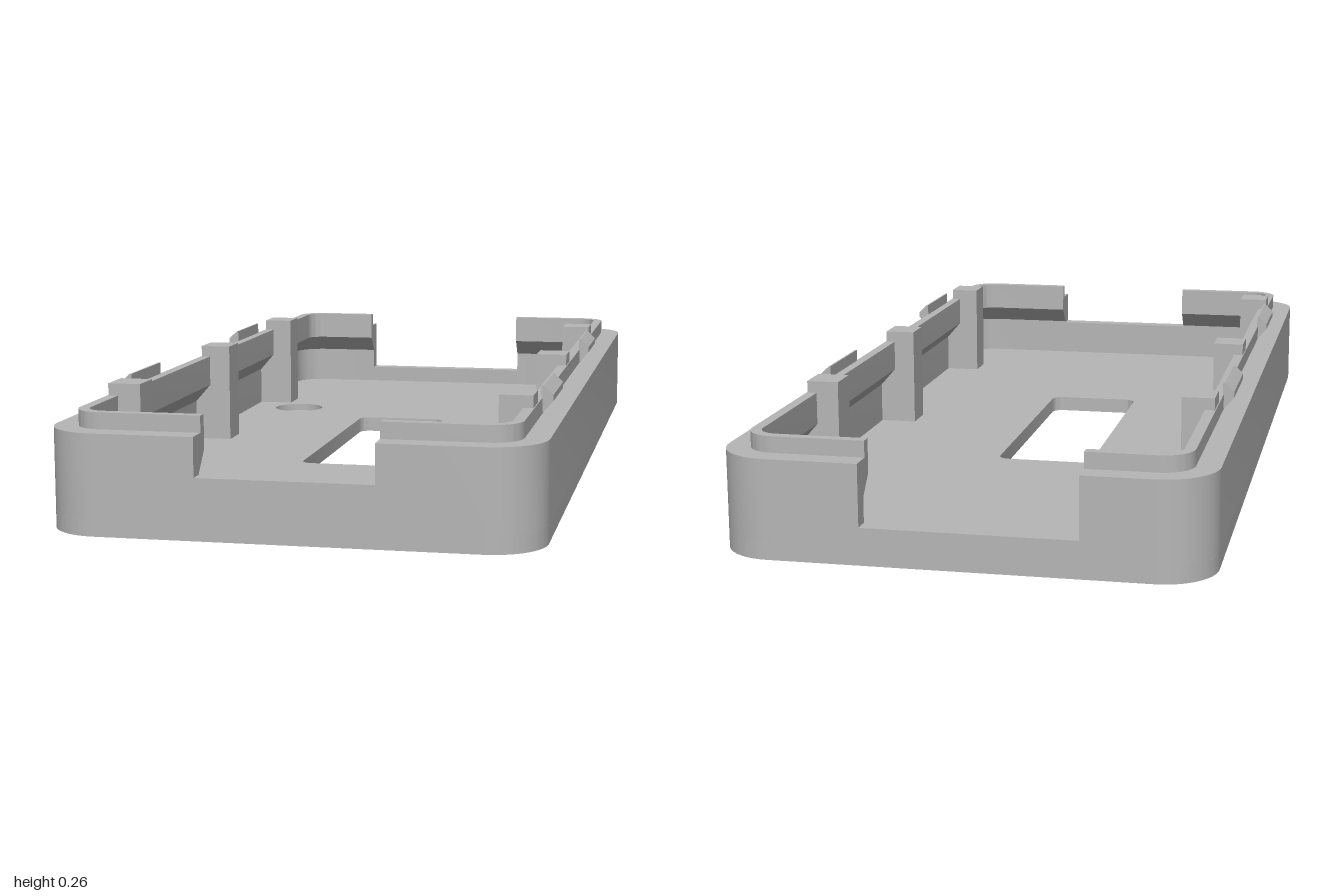
import * as THREE from 'three';
import { toCreasedNormals } from 'three/addons/utils/BufferGeometryUtils.js';

const W = 0.485, L = 1, R = 0.11;      // half width, half length, corner radius
const FLOOR = 0.035, WALL = 0.035;     // thicknesses
const ARC = 12;                        // segments per corner
const FRONT_SILL = 0.122, BACK_SILL = 0.075;

const grey = new THREE.MeshStandardMaterial({ color: 0xb6b6b6 });
grey.name = 'plastic grey';

function add(group, name, geometry) {
  const mesh = new THREE.Mesh(geometry, grey);
  mesh.name = name;
  group.add(mesh);
  return mesh;
}

// Box given by its limits
function block(x0, x1, y0, y1, z0, z1) {
  return new THREE.BoxGeometry(x1 - x0, y1 - y0, z1 - z0)
    .translate((x0 + x1) / 2, (y0 + y1) / 2, (z0 + z1) / 2);
}

function roundedRect(path, x0, y0, x1, y1, r) {
  path.moveTo(x0 + r, y0);
  path.lineTo(x1 - r, y0);
  path.absarc(x1 - r, y0 + r, r, -Math.PI / 2, 0);
  path.lineTo(x1, y1 - r);
  path.absarc(x1 - r, y1 - r, r, 0, Math.PI / 2);
  path.lineTo(x0 + r, y1);
  path.absarc(x0 + r, y1 - r, r, Math.PI / 2, Math.PI);
  path.lineTo(x0, y0 + r);
  path.absarc(x0 + r, y0 + r, r, Math.PI, Math.PI * 1.5);
  return path;
}

// Base plate layer with the window and a round hole
function floorLayer(y0, y1, holeRadius) {
  const shape = roundedRect(new THREE.Shape(), -W, -L, W, L, R);
  shape.holes.push(
    roundedRect(new THREE.Path(), -0.127, -0.36, 0.085, 0.29, 0.025),
    new THREE.Path().absarc(-0.325, 0.415, holeRadius, 0, Math.PI * 2)
  );
  const g = new THREE.ExtrudeGeometry(shape, { depth: y1 - y0, bevelEnabled: false, curveSegments: ARC });
  g.rotateX(-Math.PI / 2).translate(0, y0, 0);
  return toCreasedNormals(g, 0.6);
}

// Wall section as [inset from outline, height]: ledge, lip, and sloped underside
const PROFILE = [
  [0, FLOOR], [0, 0.2], [0.048, 0.2], [0.048, 0.233],
  [0.07, 0.233], [0.07, 0.165], [WALL, 0.125], [WALL, FLOOR]
];

// Sweep the section around two corners, from one notch edge to the other
function sideWall(side, startX, endX) {
  const cx = side * (W - R), cz = side * (L - R);
  const a0 = side > 0 ? Math.PI / 2 : Math.PI * 1.5;
  const stations = [[startX, cz, a0]];
  [cz, -cz].forEach((z, corner) => {
    for (let i = 0; i <= ARC; i++) stations.push([cx, z, a0 - (corner + i / ARC) * Math.PI / 2]);
  });
  stations.push([endX, -cz, a0 - Math.PI]);

  const rings = stations.map(([x, z, a]) => PROFILE.map(([inset, y]) =>
    [x + Math.cos(a) * (R - inset), y, z + Math.sin(a) * (R - inset)]));
  const pos = [];
  const tri = (a, b, c) => pos.push(...a, ...b, ...c);
  const n = PROFILE.length;
  for (let i = 0; i < rings.length - 1; i++) {
    for (let j = 0; j < n; j++) {
      const k = (j + 1) % n, p = rings[i], q = rings[i + 1];
      tri(p[j], q[j], p[k]);
      tri(q[j], q[k], p[k]);
    }
  }
  // End faces at the notches
  const flat = PROFILE.map(([u, y]) => new THREE.Vector2(u, y));
  const first = rings[0], last = rings[rings.length - 1];
  for (let [a, b, c] of THREE.ShapeUtils.triangulateShape(flat, [])) {
    if (THREE.ShapeUtils.area([flat[a], flat[b], flat[c]]) < 0) [b, c] = [c, b];
    tri(last[a], last[b], last[c]);
    tri(first[a], first[c], first[b]);
  }
  const g = new THREE.BufferGeometry();
  g.setAttribute('position', new THREE.Float32BufferAttribute(pos, 3));
  return toCreasedNormals(g, 0.5);
}

// Snap ridge running along z on the outside of the lip
function clipGeometry(side, z0, z1) {
  const pts = [[0.435, 0.2], [0.439, 0.204], [0.459, 0.226], [0.459, 0.239], [0.439, 0.258], [0.435, 0.258]];
  const shape = new THREE.Shape(pts.map(([x, y]) => new THREE.Vector2(side * x, y)));
  return new THREE.ExtrudeGeometry(shape, { depth: z1 - z0, bevelEnabled: false }).translate(0, 0, z0);
}

export function createModel() {
  const model = new THREE.Group();
  model.name = 'enclosureShell';

  // Floor in two layers, the upper one with a wider hole for the counterbore
  add(model, 'floorLower', floorLayer(0, 0.018, 0.042));
  add(model, 'floorUpper', floorLayer(0.018, FLOOR, 0.062));

  // Walls with lip, broken by the front and back notches
  add(model, 'leftWall', sideWall(1, 0.174, 0.19));
  add(model, 'rightWall', sideWall(-1, -0.235, -0.174));
  add(model, 'frontSill', block(-0.174, 0.174, FLOOR, FRONT_SILL, L - WALL, L));
  add(model, 'backSill', block(-0.235, 0.19, FLOOR, BACK_SILL, -L, -L + WALL));

  for (const side of [1, -1]) {
    const name = side > 0 ? 'left' : 'right';
    const span = (a, b) => [Math.min(side * a, side * b), Math.max(side * a, side * b)];
    // Inner posts, standing on the floor and rising past the lip
    for (const z of [0.7, 0.057, -0.53]) {
      add(model, name + 'Post', block(...span(0.367, 0.435), FLOOR, 0.258, z - 0.038, z + 0.038));
      add(model, name + 'PostFoot', block(...span(0.43, 0.452), FLOOR, 0.16, z - 0.038, z + 0.038));
    }
    // Snap clips
    for (const [z0, z1] of [[0.403, 0.597], [-0.412, -0.22]]) {
      add(model, name + 'Clip', clipGeometry(side, z0, z1));
    }
  }
  return model;
}
